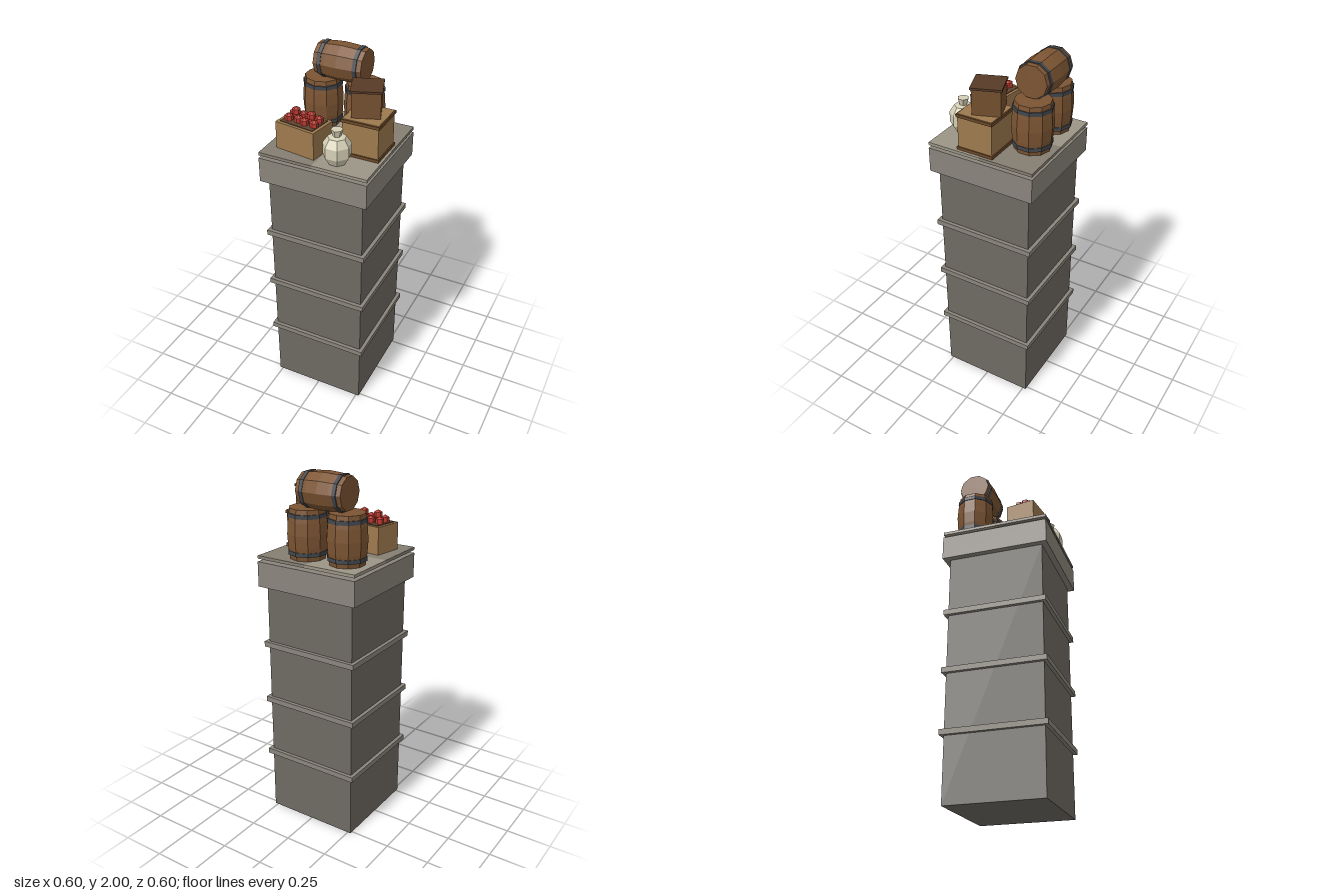
import * as THREE from 'three';

const mat = (color) => new THREE.MeshStandardMaterial({ color, flatShading: true });
const M = {
  stone: mat(0x6e6a63), trim: mat(0x8a857c), tileLight: mat(0x9c9586), tileDark: mat(0x857e72),
  barrel: mat(0x7d5533), hoop: mat(0x43474c), crate: mat(0x9e7a4e), crateTrim: mat(0x6b4828),
  box: mat(0x74502f), lid: mat(0x573a27), inside: mat(0x5f4530), apple: mat(0xbe3a30), clay: mat(0xd6d0b6),
};
const FLOOR = 1.548;

function add(parent, name, geometry, material, x = 0, y = 0, z = 0) {
  const mesh = new THREE.Mesh(geometry, material);
  mesh.name = name;
  mesh.position.set(x, y, z);
  parent.add(mesh);
  return mesh;
}

// Box given by its bottom height
function block(parent, name, material, w, h, d, x, y, z) {
  return add(parent, name, new THREE.BoxGeometry(w, h, d), material, x, y + h / 2, z);
}

function group(parent, name, x, y, z, turn = 0) {
  const g = new THREE.Group();
  g.name = name;
  g.position.set(x, y, z);
  g.rotation.y = turn;
  parent.add(g);
  return g;
}

// Ten-sided bulging barrel centred on its own origin
function barrel(parent, name, r, h, x, y, z) {
  const g = group(parent, name, x, y, z);
  const profile = [[0, -0.5], [0.875, -0.5], [0.96, -0.25], [1, 0], [0.96, 0.25], [0.875, 0.5], [0, 0.5]]
    .map(([a, b]) => new THREE.Vector2(a * r, b * h));
  add(g, 'staves', new THREE.LatheGeometry(profile, 10), M.barrel);
  for (const s of [-1, 1]) {
    add(g, 'hoop', new THREE.CylinderGeometry(r * 0.965, r * 0.965, 0.021, 10), M.hoop, 0, s * h * 0.37, 0);
  }
  return g;
}

export function createModel() {
  const model = new THREE.Group();
  model.name = 'supplyPillar';

  // Pillar with bands and cap
  block(model, 'pillar', M.stone, 0.536, 1.38, 0.536, 0, 0, 0);
  for (const y of [0.355, 0.693, 1.03]) block(model, 'band', M.trim, 0.576, 0.03, 0.576, 0, y, 0);
  block(model, 'cap', M.trim, 0.604, 0.137, 0.604, 0, 1.378, 0);

  // Chequered floor tiles, set just above the cap
  for (const sx of [-1, 1]) for (const sz of [-1, 1]) {
    block(model, 'floorTile', sx === sz ? M.tileLight : M.tileDark, 0.301, 0.017, 0.301,
      sx * 0.1505, FLOOR - 0.017, sz * 0.1505);
  }

  // Two standing barrels and one lying across them
  barrel(model, 'leftBarrel', 0.109, 0.264, -0.167, FLOOR + 0.132, -0.161);
  barrel(model, 'rightBarrel', 0.109, 0.264, 0.068, FLOOR + 0.132, -0.174);
  barrel(model, 'lyingBarrel', 0.1, 0.268, -0.051, 1.905, -0.167).rotation.z = Math.PI / 2;

  // Large crate with dark rims
  const crate = group(model, 'largeCrate', 0.184, FLOOR, 0.033);
  block(crate, 'crateBody', M.crate, 0.196, 0.202, 0.196, 0, 0, 0);
  for (const y of [0.002, 0.183]) block(crate, 'crateRim', M.crateTrim, 0.208, 0.016, 0.208, 0, y, 0);

  // Small crate turned on top
  const small = group(model, 'smallCrate', 0.167, FLOOR + 0.202, 0.017, 0.353);
  block(small, 'boxBody', M.box, 0.146, 0.135, 0.146, 0, 0, 0);
  block(small, 'boxLid', M.lid, 0.159, 0.011, 0.159, 0, 0.134, 0);

  // Fruit crate holding two small pyramids of apples
  const fruit = group(model, 'fruitCrate', -0.117, FLOOR, 0.15, -0.145);
  block(fruit, 'fruitBox', M.crate, 0.233, 0.148, 0.165, 0, 0, 0);
  block(fruit, 'fruitBed', M.inside, 0.199, 0.01, 0.133, 0, 0.142, 0);
  const appleGeo = new THREE.SphereGeometry(0.0255, 6, 3).rotateY(Math.PI / 6);
  for (const [px, pz] of [[-0.162, 0.144], [-0.068, 0.158]]) {
    const pile = group(model, 'applePile', px, 0, pz);
    for (const sx of [-1, 1]) for (const sz of [-1, 1]) {
      add(pile, 'apple', appleGeo, M.apple, sx * 0.027, 1.712, sz * 0.027);
    }
    add(pile, 'topApple', appleGeo, M.apple, 0, 1.741, 0);
  }

  // Seven-sided jar with a flared six-sided neck
  const jar = group(model, 'jar', 0.1, FLOOR, 0.215);
  const jarProfile = [[0, 0], [0.046, 0.003], [0.074, 0.048], [0.074, 0.105], [0.048, 0.145], [0, 0.153]]
    .map(([a, b]) => new THREE.Vector2(a, b));
  add(jar, 'jarBody', new THREE.LatheGeometry(jarProfile, 7), M.clay).rotation.y = Math.PI;
  add(jar, 'jarNeck', new THREE.CylinderGeometry(0.031, 0.018, 0.044, 6), M.clay, 0, 0.164, 0);

  return model;
}
